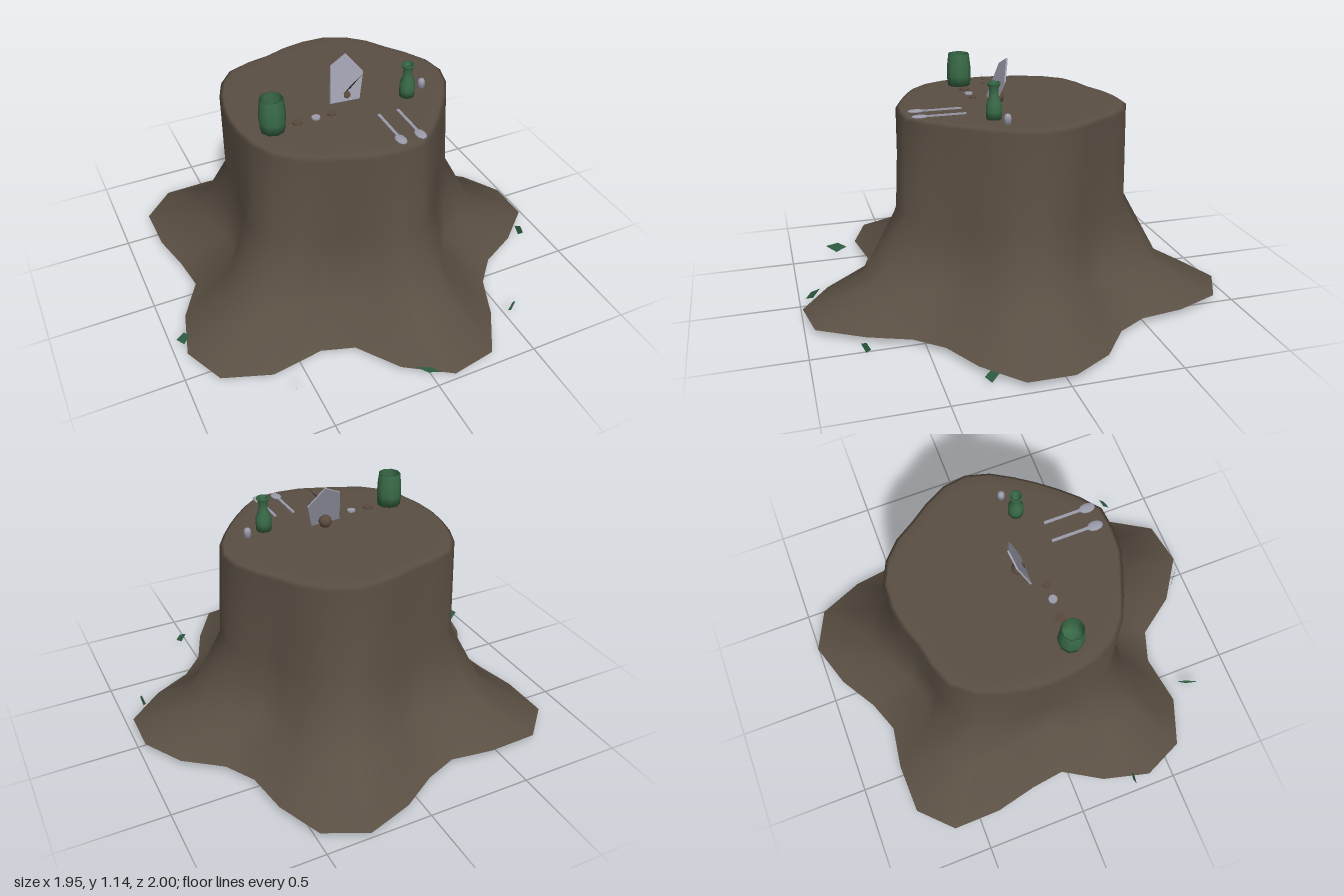
import * as THREE from 'three';

const mat = (name, color) => {
  const m = new THREE.MeshStandardMaterial({ color, side: THREE.DoubleSide });
  m.name = name;
  return m;
};

// Stump radii every 12 degrees about its own axis, starting 6 degrees from the front
const AXIS = [-.02, -.03];
const FOOT = [1.03, 1.037, .896, .785, .784, .895, 1.011, .99, .899, .776, .774, .891, 1.014, 1.022, .905,
  .794, .769, .879, 1.015, 1.026, .905, .799, .76, .89, 1.017, 1.039, .929, .754, .738, .895];
const RIM = [.54, .555, .525, .505, .50, .51, .535, .555, .55, .53, .52, .54, .555, .555, .535,
  .515, .50, .525, .555, .55, .535, .525, .525, .53, .54, .55, .54, .52, .515, .53];

function geometry(positions, index) {
  const g = new THREE.BufferGeometry();
  g.setAttribute('position', new THREE.Float32BufferAttribute(positions, 3));
  g.setIndex(index);
  g.computeVertexNormals();
  return g;
}

// Flat convex plate from its corners
function plate(corners) {
  const index = [];
  for (let i = 1; i < corners.length - 1; i++) index.push(0, i, i + 1);
  return geometry(corners.flat(), index);
}

const lathe = (profile, sides) =>
  new THREE.LatheGeometry(profile.map(([r, y]) => new THREE.Vector2(r, y)), sides);

export function createModel() {
  const root = new THREE.Group();
  const bark = mat('bark brown', 0x5a4f43);
  const glass = mat('bottle green', 0x3a6b48);
  const leafGreen = mat('leaf green', 0x35684a);
  const metal = mat('dull silver', 0x9c9cac);
  const copper = mat('dark copper', 0x5a4a3c);
  const dark = mat('dark twig', 0x2c2824);

  const add = (name, geo, material, x = 0, y = 0, z = 0, parent = root) => {
    const mesh = new THREE.Mesh(geo, material);
    mesh.name = name;
    mesh.position.set(x, y, z);
    parent.add(mesh);
    return mesh;
  };

  // Stump, open below: each row is [height, share of rim, share of foot, constant radius]
  const rows = [[.93, .86, 0, 0], [.93, .965, 0, 0], [.918, 1, 0, 0],
    [.47, 0, .23, .328], [.17, 0, .712, 0], [.03, 0, 1, 0]];
  const n = FOOT.length;
  const pos = [], idx = [];
  rows.forEach(([y, rim, foot, base], j) => {
    for (let i = 0; i < n; i++) {
      const a = (6 + i * 12) * Math.PI / 180;
      const r = RIM[i] * rim + FOOT[i] * foot + base;
      pos.push(AXIS[0] + Math.sin(a) * r, y, AXIS[1] + Math.cos(a) * r);
      if (j === rows.length - 1) continue;
      const k = (i + 1) % n, p = j * n, q = p + n;
      idx.push(p + i, q + i, p + k, q + i, q + k, p + k);
    }
  });
  // Cut top closes onto a centre point
  const centre = rows.length * n;
  pos.push(AXIS[0], .93, AXIS[1]);
  for (let i = 0; i < n; i++) idx.push(centre, i, (i + 1) % n);
  add('stump', geometry(pos, idx), bark);

  // Open green jar, bottle and small cup
  add('jar', lathe([[0, 0], [.056, 0], [.061, .05], [.059, .1], [.052, .16], [.048, .16],
    [.052, .1], [.05, .012], [0, .012]], 9), glass, -.39, .93, .12);
  add('bottle', lathe([[0, 0], [.035, 0], [.037, .035], [.035, .07], [.021, .105], [.021, .14],
    [.03, .155], [.03, .163], [.02, .163], [.014, .11], [0, .1]], 10), glass, .27, .93, .12);
  add('thimble', lathe([[0, 0], [.018, 0], [.017, .03], [.011, .042], [0, .044]], 10),
    metal, .365, .93, .085);

  // Leaning mirror shard, the ball propping it and a thin twig in front
  const outline = [[-.087, .008], [.058, 0], [.094, .122], [.02, .218], [-.06, .178]];
  const shard = new THREE.Shape(outline.map(([x, y]) => new THREE.Vector2(x, y)));
  add('mirrorShard', new THREE.ExtrudeGeometry(shard, { depth: .008, bevelEnabled: false }),
    metal, 0, .932, .054).rotation.x = -.33;
  add('ball', new THREE.SphereGeometry(.031, 12, 8), copper, 0, .955, .028);
  add('twig', plate([[-.04, .99, .085], [-.005, 1.027, .098], [.04, 1.09, .115], [-.005, 1.04, .098]]), dark);

  // Row of coins
  [[-.275, .023, copper], [-.185, .02, metal], [-.11, .018, copper]].forEach(([x, r, m]) =>
    add('coin', new THREE.CylinderGeometry(r, r, .008, 12), m, x, .934, .12));

  // Pair of spoons
  for (const x of [.075, .17]) {
    const spoon = new THREE.Group();
    spoon.name = 'spoon';
    spoon.position.set(x, .936, 0);
    add('spoonHandle', new THREE.BoxGeometry(.013, .006, .18), metal, 0, 0, .31, spoon);
    add('spoonBowl', new THREE.SphereGeometry(1, 10, 6), metal, 0, 0, .43, spoon).scale.set(.025, .007, .04);
    root.add(spoon);
  }

  // Upright leaves around the roots: [x1, z1, x2, z2, bottom, top]
  [[-.975, .30, -.91, .30, .005, .08], [-.6, .82, -.56, .715, .005, .06],
    [-.065, .90, .025, .975, .03, .066], [.5, .78, .565, .745, .015, .065],
    [.88, .27, .89, .335, 0, .06]].forEach(([x1, z1, x2, z2, lo, hi]) => {
    const at = (t, y) => [x1 + (x2 - x1) * t, y, z1 + (z2 - z1) * t];
    const mid = lo + (hi - lo) * .6;
    add('leaf', plate([at(0, mid), at(.5, lo), at(1, mid), at(.6, hi)]), leafGreen);
  });

  return root;
}
